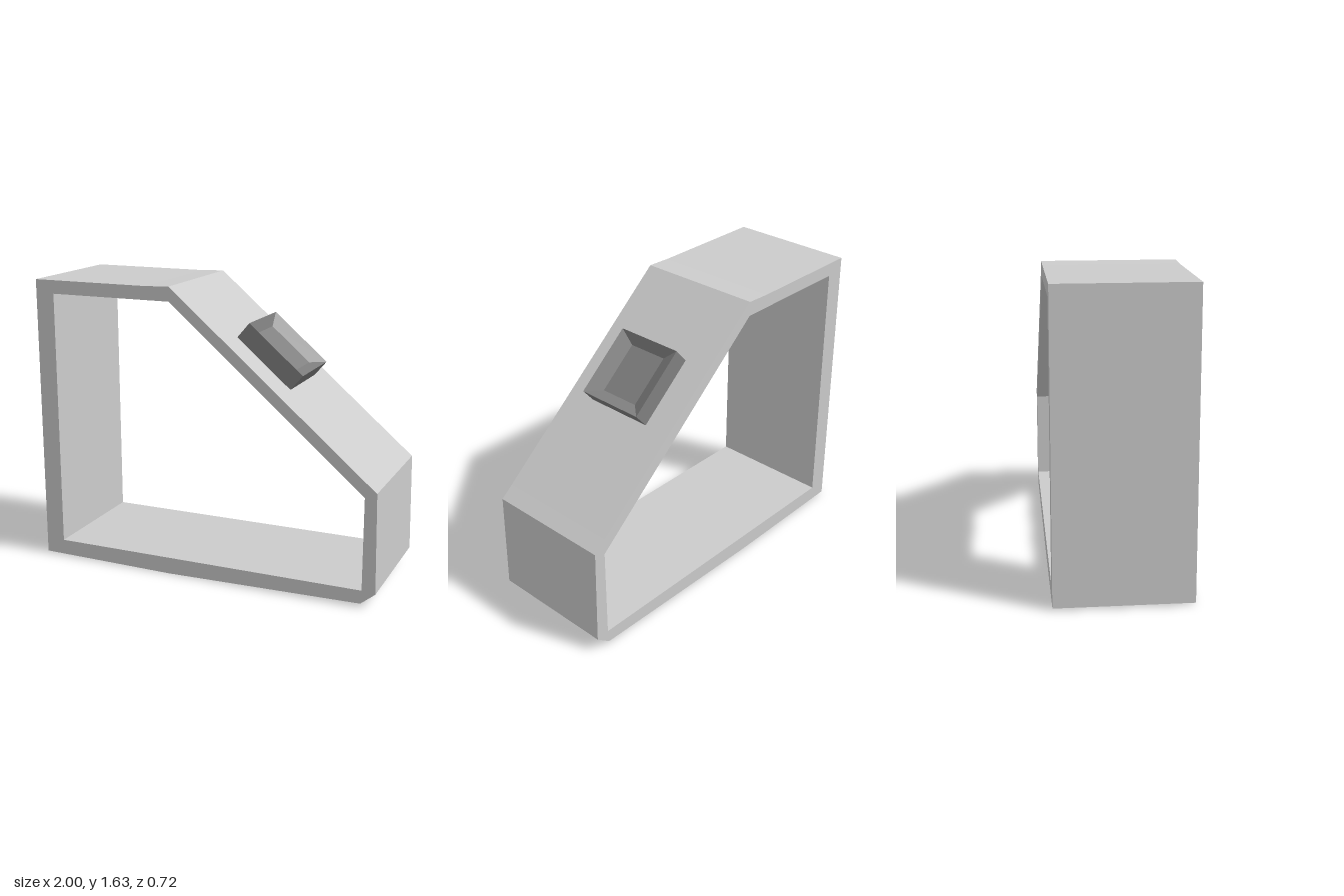
import * as THREE from 'three';

const toVectors = (pts) => pts.map(([x, y]) => new THREE.Vector2(x, y));

// Skin over stacked rectangles [halfX, halfZ, y, centreX], closed by the last one
function loftRectangles(rings) {
  const corners = rings.map(([hx, hz, y, cx]) => [
    [cx - hx, y, hz], [cx + hx, y, hz], [cx + hx, y, -hz], [cx - hx, y, -hz],
  ]);
  const pos = [];
  const quad = (a, b, c, d) => pos.push(...a, ...b, ...c, ...a, ...c, ...d);
  for (let r = 0; r < corners.length - 1; r++) {
    for (let i = 0; i < 4; i++) {
      const j = (i + 1) % 4;
      quad(corners[r][i], corners[r][j], corners[r + 1][j], corners[r + 1][i]);
    }
  }
  quad(...corners[corners.length - 1]);
  const geo = new THREE.BufferGeometry();
  geo.setAttribute('position', new THREE.Float32BufferAttribute(pos, 3));
  geo.computeVertexNormals();
  return geo;
}

export function createModel() {
  const group = new THREE.Group();
  const frameMaterial = new THREE.MeshStandardMaterial({ color: 0xcccccc, flatShading: true });
  const trayMaterial = new THREE.MeshStandardMaterial({ color: 0x808080, flatShading: true });

  // Open frame: outer profile with a see-through opening
  const profile = new THREE.Shape(toVectors([
    [-1, 0.01], [-0.2, 0], [0.92, 0.02], [1, 0.085], [0.99, 0.64],
    [0.92, 0.697], [-0.18, 1.63], [-0.32, 1.625], [-1, 1.625],
  ]));
  profile.holes.push(new THREE.Path(toVectors([
    [-0.89, 0.095], [-0.89, 1.55], [-0.18, 1.55], [0.925, 0.61], [0.925, 0.095],
  ])));
  const depth = 0.72;
  const frameGeometry = new THREE.ExtrudeGeometry(profile, { depth, bevelEnabled: false });
  frameGeometry.translate(0, 0, -depth / 2);
  const frame = new THREE.Mesh(frameGeometry, frameMaterial);
  frame.name = 'frame';
  group.add(frame);

  // Block on the slope with a tapered recess in its top
  const tray = new THREE.Mesh(loftRectangles([
    [0.201, 0.197, -0.004, 0],
    [0.201, 0.197, 0.106, 0],
    [0.144, 0.115, 0.063, -0.004],
  ]), trayMaterial);
  tray.name = 'recessedTray';
  tray.position.set(0.2975, 1.225, -0.004);
  tray.rotation.z = -0.706;
  group.add(tray);

  return group;
}
